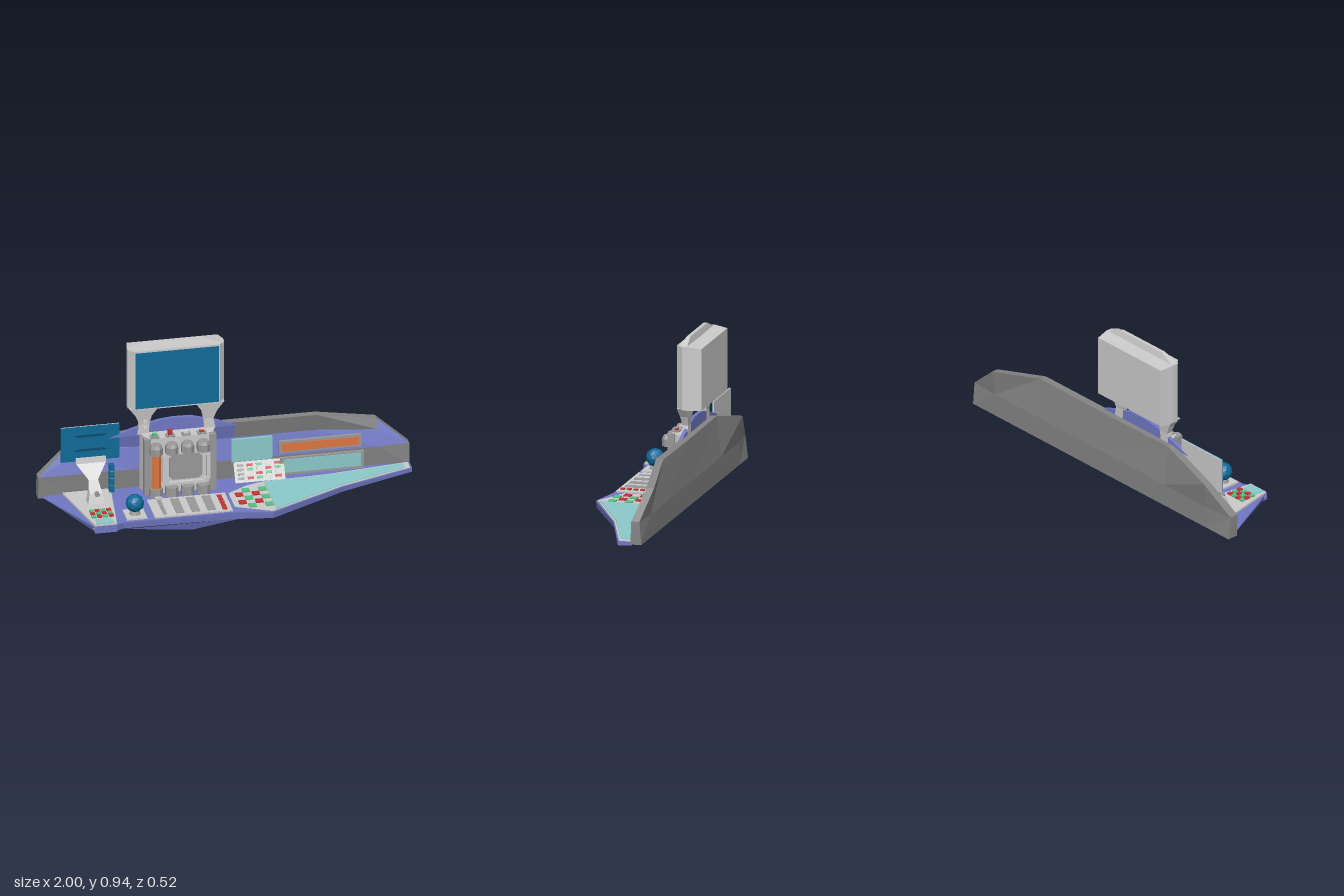
import * as THREE from 'three';

const BLUE = 0x7078c4, WALL = 0x858585, GREY = 0xcccccc, MID = 0x999999, TEAL = 0x8ccaca;
const ORANGE = 0xdd7744, DEEP = 0x0e6a98, RED = 0xc43434, GREEN = 0x55c080;

export function createModel() {
  const model = new THREE.Group();
  const mats = {};
  const mat = (c) => (mats[c] ??= new THREE.MeshStandardMaterial({ color: c, flatShading: true, side: THREE.DoubleSide }));
  const add = (name, geo, color, x = 0, y = 0, z = 0) => {
    const m = new THREE.Mesh(geo, mat(color));
    m.name = name;
    m.position.set(x, y, z);
    model.add(m);
    return m;
  };
  const box = (name, x0, x1, y0, y1, z0, z1, color) =>
    add(name, new THREE.BoxGeometry(x1 - x0, y1 - y0, z1 - z0), color, (x0 + x1) / 2, (y0 + y1) / 2, (z0 + z1) / 2);
  const shapeOf = (pts) => new THREE.Shape(pts.map(([a, b]) => new THREE.Vector2(a, b)));
  // front outline (x, y) extruded along z
  const plate = (name, pts, z0, z1, color) =>
    add(name, new THREE.ExtrudeGeometry(shapeOf(pts), { depth: z1 - z0, bevelEnabled: false }), color, 0, 0, z0);
  // plan outline (x, z) extruded along y
  const slab = (name, pts, y0, y1, color) =>
    add(name, new THREE.ExtrudeGeometry(shapeOf(pts.map(([x, z]) => [x, -z])),
      { depth: y1 - y0, bevelEnabled: false }).rotateX(-Math.PI / 2), color, 0, y0, 0);
  // skin over rows of points
  const grid = (name, rows, color) => {
    const v = [];
    for (let i = 0; i + 1 < rows.length; i++)
      for (let j = 0; j + 1 < rows[i].length; j++) {
        const a = rows[i][j], b = rows[i][j + 1], c = rows[i + 1][j + 1], d = rows[i + 1][j];
        v.push(...a, ...b, ...c, ...a, ...c, ...d);
      }
    const g = new THREE.BufferGeometry();
    g.setAttribute('position', new THREE.Float32BufferAttribute(v, 3));
    g.computeVertexNormals();
    return add(name, g, color);
  };
  // closed solid through loops of points
  const loft = (name, loops, color) => {
    const mid = (l) => l.map(() => [0, 1, 2].map((k) => l.reduce((s, p) => s + p[k], 0) / l.length));
    const rows = [mid(loops[0]), ...loops, mid(loops.at(-1))];
    return grid(name, rows.map((r) => [...r, r[0]]), color);
  };
  const rect = (x0, x1, z0, z1, y) => [[x0, y, z0], [x1, y, z0], [x1, y, z1], [x0, y, z1]];

  // Back wall: folded bands over seven stations, [x, top y, fold y, top front z, top back z]
  const stations = [[-1, 0.2, 0.2, -0.165, -0.215], [-0.83, 0.345, 0.29, -0.21, -0.25], [-0.5, 0.42, 0.32, -0.165, -0.205],
    [0.06, 0.42, 0.32, -0.165, -0.21], [0.5, 0.42, 0.32, -0.165, -0.205], [0.83, 0.345, 0.29, -0.21, -0.25], [1, 0.2, 0.2, -0.175, -0.22]];
  const row = (f) => stations.map(f);
  const end = (x) => Math.abs(x) === 1;
  const topF = row(([x, t, , z]) => [x, t, z]);
  const topB = row(([x, t, , , z]) => [x, t, z]);
  const fold = row(([x, , f, z]) => [x, f, end(x) ? z : -0.19]);
  const low = row(([x, , , z]) => [x, 0.2, end(x) ? z : -0.165]);
  const foot = row(([x]) => [x, 0.075, end(x) ? -0.17 : -0.175]);
  const backMid = row(([x, , , , z]) => [x, 0.2, end(x) ? z : -0.23]);
  const backFoot = row(([x]) => [x, 0.075, -0.23]);
  grid('wallUpperBandLeft', [topF.slice(0, 4), fold.slice(0, 4)], BLUE);
  grid('wallUpperBandRight', [topF.slice(3, 6), fold.slice(3, 6)], WALL);
  grid('wallUpperBandEnd', [topF.slice(5), fold.slice(5)], BLUE);
  grid('wallMiddleBand', [fold, low], BLUE);
  grid('wallLowerBand', [low, foot], WALL);
  grid('wallBack', [topF, topB, backMid, backFoot, foot], WALL);
  for (const i of [0, 6]) grid('wallEnd', [[low[i], backMid[i]], [foot[i], backFoot[i]]], WALL);
  plate('wallArch', [[-0.62, 0.4], [-0.5, 0.44], [-0.36, 0.478], [-0.28, 0.487], [-0.18, 0.485], [-0.05, 0.45], [0.06, 0.41]], -0.175, -0.155, BLUE);

  // Shelf: thin sheet with an undercut skirt, open below
  const rim = [[-0.98, -0.16], [-0.78, 0.24], [-0.66, 0.24], [-0.62, 0.22], [-0.02, 0.22], [0.18, 0.26], [0.6, 0.04], [1, -0.1], [1, -0.18]];
  const under = [[-0.87, 0.05, -0.185], [-0.77, 0.05, 0.235], [-0.66, 0.05, 0.235], [-0.62, 0.05, 0.215], [-0.02, 0.045, 0.215],
    [0.18, 0.05, 0.255], [0.6, 0.056, 0.035], [1, 0.066, -0.1], [1, 0.07, -0.18]];
  slab('shelfTop', [...rim, [0.8, -0.2], [-0.8, -0.2]], 0.083, 0.088, BLUE);
  grid('shelfSkirt', [rim.map(([x, z]) => [x, 0.088, z]), under], BLUE);
  grid('shelfLip', [[[-0.62, 0.05, 0.222], [-0.25, 0.05, 0.225], [0.02, 0.05, 0.222]],
    [[-0.62, 0.05, 0.222], [-0.25, 0.003, 0.21], [0.02, 0.05, 0.222]]], BLUE);

  // Right wing: framed translucent-looking panel and checkered keys
  slab('wingFrame', [[-0.01, 0], [0.1, -0.07], [0.2, -0.1], [0.55, -0.115], [0.99, -0.17], [0.99, -0.105], [0.6, 0.035], [0.18, 0.25], [-0.01, 0.16]], 0.081, 0.091, GREY);
  slab('wingPanel', [[0.2, -0.09], [0.56, -0.105], [0.96, -0.155], [0.96, -0.105], [0.59, 0.028], [0.2, 0.232]], 0.079, 0.094, TEAL);
  for (let c = 0; c < 4; c++)
    for (let r = 0; r < 7; r++) {
      const x = 0.02 + c * 0.045, z = -0.075 + r * 0.045;
      if ((r + c) % 2 || z < -0.005 - x * 0.4 || z > 0.13 + x * 0.45) continue;
      box('checkerKey', x, x + 0.04, 0.079, 0.097, z, z + 0.04, c % 2 ? GREEN : RED);
    }

  // Wall displays on the right
  plate('squareDisplay', [[0.04, 0.19], [0.26, 0.19], [0.26, 0.32], [0.04, 0.32]], -0.175, -0.158, TEAL);
  box('barFrame', 0.295, 0.74, 0.215, 0.285, -0.175, -0.158, MID);
  box('barDisplay', 0.31, 0.725, 0.227, 0.273, -0.16, -0.154, ORANGE);
  box('longFrame', 0.3, 0.75, 0.09, 0.19, -0.17, -0.15, MID);
  box('longDisplay', 0.32, 0.735, 0.105, 0.182, -0.152, -0.146, TEAL);
  const desk = (z, y) => [[0.05, y, z], [0.32, y, z]];
  grid('keypad', [desk(-0.165, 0.185), desk(-0.11, 0.088)], GREY);
  for (let c = 0; c < 5; c++)
    for (let r = 0; r < 4; r++) {
      const k = add('keypadKey', new THREE.BoxGeometry(0.032, 0.014, 0.01), c === 0 ? MID : [GREY, RED, GREEN][(c + r * 2) % 3],
        0.085 + c * 0.05, 0.108 + r * 0.02, -0.12 - r * 0.0114);
      k.rotation.x = -0.51;
    }

  // Central instrument block
  slab('instrumentBlock', [[-0.445, -0.115], [-0.42, -0.075], [-0.09, -0.075], [-0.065, -0.115], [-0.055, -0.165], [-0.455, -0.165]], 0.085, 0.415, GREY);
  for (const x of [-0.43, -0.078]) box('blockPost', x - 0.02, x + 0.015, 0.09, 0.415, -0.1, -0.062, MID);
  const rounded = (x0, x1, y0, y1, r) => [[x0 + r, y0], [x1 - r, y0], [x1, y0 + r], [x1, y1 - r], [x1 - r, y1], [x0 + r, y1], [x0, y1 - r], [x0, y0 + r]];
  const bezel = shapeOf(rounded(-0.355, -0.095, 0.135, 0.335, 0.025));
  bezel.holes.push(shapeOf(rounded(-0.335, -0.115, 0.155, 0.32, 0.02)));
  add('blockBezel', new THREE.ExtrudeGeometry(bezel, { depth: 0.02, bevelEnabled: false }), GREY, 0, 0, -0.075);
  plate('blockScreen', rounded(-0.315, -0.135, 0.165, 0.31, 0.02), -0.08, -0.068, MID);
  [-0.39, -0.305, -0.22, -0.135].forEach((x, i) => {
    const cyl = (name, y0, y1, r0, r1, c) => add(name, new THREE.CylinderGeometry(r1, r0, y1 - y0, 8).rotateY(Math.PI / 8), c, x, (y0 + y1) / 2, -0.048);
    cyl('cylinderTopCap', 0.335, 0.375, 0.036, 0.036, MID);
    cyl('cylinderTopBevel', 0.375, 0.392, 0.036, 0.027, MID);
    cyl('cylinderFoot', 0.08, 0.14, 0.038, 0.036, MID);
    if (i === 0) cyl('orangeTube', 0.14, 0.335, 0.026, 0.026, ORANGE);
    box('topButtonBase', x - 0.024, x + 0.024, 0.412, 0.422, -0.11, -0.075, MID);
    const h = [0.437, 0.452, 0.43, 0.43][i];
    box('topButton', x - 0.012, x + 0.012, 0.42, h, -0.1, -0.084, [GREEN, RED, GREY, RED][i]);
  });

  // Main monitor on two arms
  const half = [[0.23, -0.125], [0.26, -0.16], [0.26, -0.19], [0.245, -0.262]];
  const cx = -0.26;
  const plan = [...half.map(([x, z]) => [cx + x, z]), ...half.toReversed().map(([x, z]) => [cx - x, z])];
  loft('monitorCase', [plan.map(([x, z]) => [x, 0.565, z]), plan.map(([x, z]) => [x, z < -0.2 ? 0.9 : 0.91, z])], GREY);
  loft('monitorTopRidge', [rect(-0.515, -0.005, -0.185, -0.145, 0.905), rect(-0.42, -0.1, -0.176, -0.156, 0.943)], GREY);
  box('monitorScreen', -0.485, -0.037, 0.573, 0.9, -0.13, -0.122, DEEP);
  for (const s of [-1, 1]) {
    const sec = (a, b, z0, z1, y) => rect(cx + s * a, cx + s * b, z0, z1, y);
    loft('monitorArm', [sec(0.15, 0.21, -0.176, -0.145, 0.41), sec(0.145, 0.2, -0.176, -0.146, 0.47),
      sec(0.135, 0.22, -0.182, -0.138, 0.52), sec(0.1, 0.255, -0.186, -0.13, 0.57)], GREY);
  }
  for (const y of [0.445, 0.485])
    add('armKnob', new THREE.CylinderGeometry(0.014, 0.014, 0.025, 8).rotateX(Math.PI / 2), GREY, -0.43, y, -0.135);

  // Left station: base plate, leaning stand and thin screen
  slab('stationBase', [[-0.87, -0.17], [-0.61, -0.17], [-0.66, 0.24], [-0.78, 0.24]], 0.07, 0.098, GREY);
  box('stationNose', -0.78, -0.66, 0.05, 0.09, 0.2, 0.245, BLUE);
  slab('stationPad', [[-0.764, 0.175], [-0.676, 0.175], [-0.672, 0.235], [-0.768, 0.235]], 0.09, 0.102, TEAL);
  for (let c = 0; c < 4; c++)
    for (let r = 0; r < 3; r++)
      box('stationKey', -0.777 + c * 0.031, -0.753 + c * 0.031, 0.095, 0.106, 0.07 + r * 0.034, 0.094 + r * 0.034, (c + r) % 2 ? RED : GREEN);
  loft('screenStand', [rect(-0.765, -0.675, -0.06, 0, 0.095), rect(-0.755, -0.685, -0.06, -0.02, 0.15),
    rect(-0.745, -0.695, -0.11, -0.085, 0.2), rect(-0.8, -0.64, -0.16, -0.145, 0.27), rect(-0.8, -0.64, -0.163, -0.15, 0.3)], GREY);
  add('standPivot', new THREE.CylinderGeometry(0.014, 0.014, 0.02, 8).rotateX(Math.PI / 2), MID, -0.715, 0.15, -0.015);
  box('sideScreenBack', -0.88, -0.565, 0.28, 0.48, -0.17, -0.163, GREY);
  box('sideScreen', -0.88, -0.565, 0.28, 0.48, -0.163, -0.158, DEEP);
  for (const y of [0.35, 0.42])
    plate('screenSlot', [[-0.79, y], [-0.65, y], [-0.63, y + (y < 0.4 ? -0.012 : 0.012)], [-0.81, y + (y < 0.4 ? -0.012 : 0.012)]], -0.16, -0.155, 0x0a4c70);
  for (let i = 0; i < 4; i++) box('stackedCell', -0.626, -0.6, 0.1 + i * 0.042, 0.134 + i * 0.042, -0.145, -0.115, DEEP);
  box('stackCore', -0.62, -0.606, 0.085, 0.25, -0.138, -0.122, MID);

  // Trackball
  box('ballPad', -0.6, -0.49, 0.075, 0.098, 0.09, 0.205, GREY);
  add('ballSeat', new THREE.CylinderGeometry(0.026, 0.032, 0.016, 12), MID, -0.545, 0.102, 0.147);
  add('ball', new THREE.IcosahedronGeometry(0.05, 1), DEEP, -0.545, 0.16, 0.147);

  // Flat console in the middle of the shelf
  box('consolePlate', -0.45, -0.03, 0.084, 0.097, 0, 0.21, GREY);
  for (let i = 0; i < 3; i++) box('consoleStripe', -0.33 + i * 0.085, -0.285 + i * 0.085, 0.09, 0.1, 0.02, 0.19, MID);
  box('sliderTrack', -0.4, -0.38, 0.09, 0.1, 0.01, 0.19, MID);
  box('sliderHandle', -0.41, -0.37, 0.095, 0.112, 0.005, 0.02, GREY);
  for (let i = 0; i < 5; i++) box('consoleButton', -0.08, -0.055, 0.092, 0.103, 0.03 + i * 0.036, 0.052 + i * 0.036, RED);

  return model;
}
